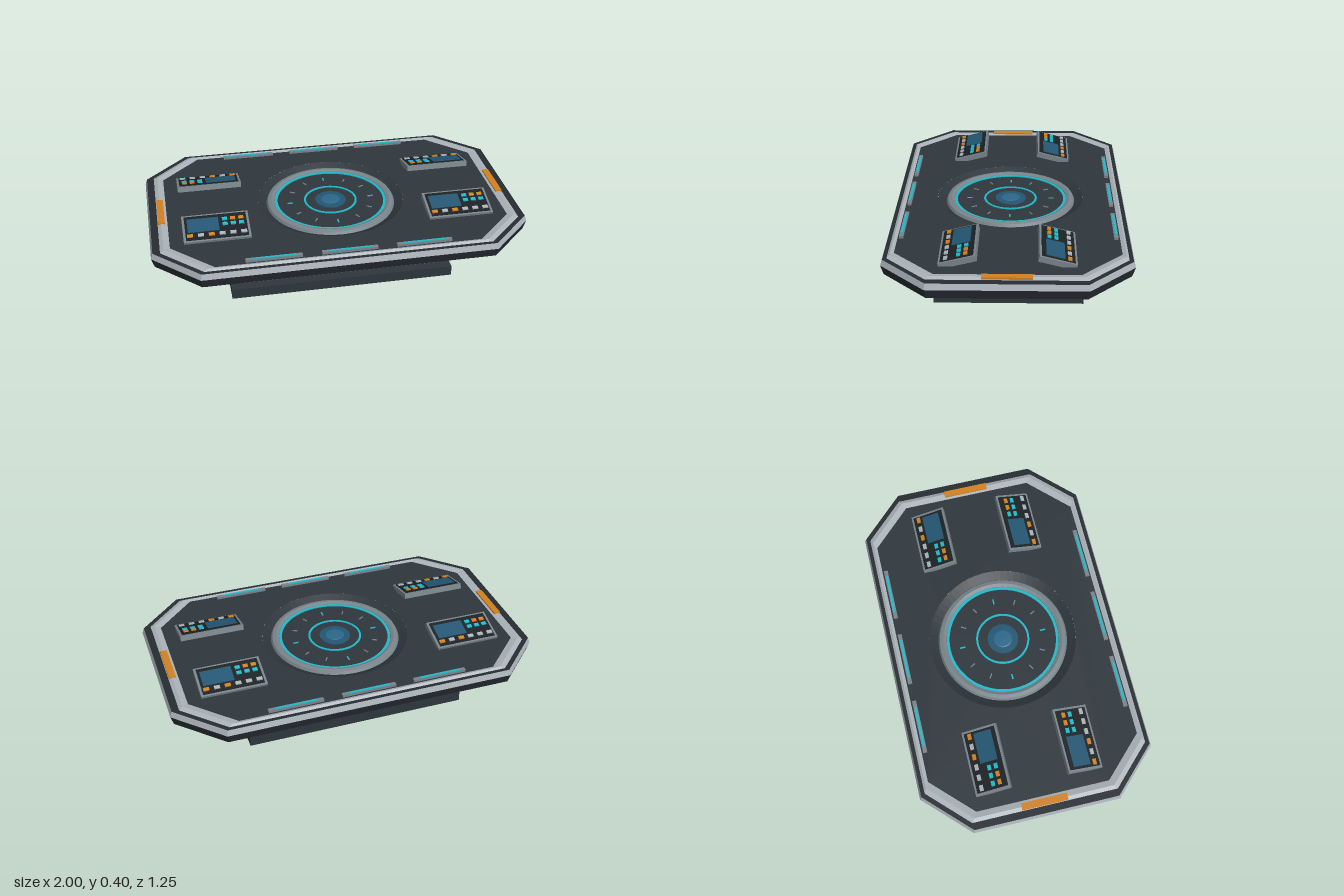
import * as THREE from 'three';

const mat = (name, color, flat = true) => {
  const m = new THREE.MeshStandardMaterial({ color, flatShading: flat });
  m.name = name;
  return m;
};

export function createModel() {
  const root = new THREE.Group();
  root.name = 'commandTable';
  const M = {
    body: mat('bodyDark', 0x262c31),
    deck: mat('deckDark', 0x2e363c),
    silver: mat('silver', 0xaab3b9),
    steel: mat('steel', 0x78848b),
    black: mat('black', 0x1b2024),
    teal: mat('teal', 0x1fb9c9),
    orange: mat('orange', 0xd2811f),
    screen: mat('screenBlue', 0x235672),
    dome: mat('domeBlue', 0x2b678a),
  };

  const add = (parent, name, geo, material, x = 0, y = 0, z = 0) => {
    const m = new THREE.Mesh(geo, material);
    m.name = name;
    m.position.set(x, y, z);
    parent.add(m);
    return m;
  };
  const box = (parent, name, w, h, d, material, x, y, z) =>
    add(parent, name, new THREE.BoxGeometry(w, h, d), material, x, y, z);
  const lathe = (name, pts, material) =>
    add(root, name, new THREE.LatheGeometry(pts.map(p => new THREE.Vector2(...p)), 64), material);

  // Octagon outline: half width, half depth, and x + z along the cut corners
  const octagon = ([hx, hz, s]) => {
    const q = [[hx, s - hx], [s - hz, hz]];
    return [
      ...q, [hz - s, hz], [-hx, s - hx],
      [-hx, hx - s], [hz - s, -hz], [s - hz, -hz], [hx, hx - s],
    ];
  };
  // Band of eight quads joining two octagons, given as [hx, hz, sum, y]
  const band = (name, a, b, material) => {
    const A = octagon(a), B = octagon(b), v = [];
    for (let i = 0; i < 8; i++) {
      const j = (i + 1) % 8;
      const a0 = [A[i][0], a[3], A[i][1]], a1 = [A[j][0], a[3], A[j][1]];
      const b0 = [B[i][0], b[3], B[i][1]], b1 = [B[j][0], b[3], B[j][1]];
      v.push(...a0, ...b0, ...b1, ...a0, ...b1, ...a1);
    }
    const g = new THREE.BufferGeometry();
    g.setAttribute('position', new THREE.Float32BufferAttribute(v, 3));
    g.computeVertexNormals();
    add(root, name, g, material);
  };
  const octShape = s => new THREE.Shape(octagon(s).map(p => new THREE.Vector2(...p)));

  // Table top shell, from the underside up and inward
  const under = [0.865, 0.487, 1.2, 0.225];
  const lower = [0.985, 0.61, 1.37, 0.255];
  const widest = [1, 0.625, 1.39, 0.305];
  const lip = [0.99, 0.615, 1.375, 0.335];
  const inlayOut = [0.952, 0.595, 1.34, 0.335];
  const inlayMid = [0.932, 0.583, 1.305, 0.344];
  const inlayIn = [0.9, 0.565, 1.255, 0.337];
  band('lowerChamfer', under, lower, M.body);
  band('sideWall', lower, widest, M.body);
  band('edgeTrim', widest, lip, M.silver);
  band('outerBorder', lip, inlayOut, M.body);
  band('inlayOuter', inlayOut, inlayMid, M.silver);
  band('inlayInner', inlayMid, inlayIn, M.silver);
  add(root, 'underside', new THREE.ShapeGeometry(octShape(under)).rotateX(Math.PI / 2), M.body, 0, 0.225, 0);
  const deck = octShape(inlayIn);
  deck.holes.push(new THREE.Path().absarc(0, 0, 0.4, 0, Math.PI * 2, true));
  add(root, 'deck', new THREE.ShapeGeometry(deck, 64).rotateX(-Math.PI / 2), M.deck, 0, 0.337, 0);

  // Recessed round display
  lathe('recess', [[0.4, 0.337], [0.35, 0.312]], M.deck);
  lathe('displayRim', [[0.355, 0.31], [0.345, 0.328], [0.325, 0.333], [0.308, 0.326], [0.305, 0.315]], M.steel);
  lathe('displayFace', [[0.31, 0.318], [0, 0.318]], M.deck);
  lathe('outerGlowRing', [[0.307, 0.317], [0.307, 0.323], [0.292, 0.323], [0.292, 0.317]], M.teal);
  lathe('innerGlowRing', [[0.146, 0.317], [0.146, 0.323], [0.135, 0.323], [0.135, 0.317]], M.teal);
  lathe('lens', [[0.086, 0.317], [0.084, 0.324], [0.052, 0.325]], M.screen);
  lathe('lensCore', [[0.052, 0.325], [0.045, 0.328], [0, 0.33]], M.dome);
  for (let i = 0; i < 12; i++) {
    const a = i * Math.PI / 6, axis = i % 3 === 0;
    const tick = box(root, 'dialTick', 0.03, 0.004, axis ? 0.008 : 0.006, axis ? M.teal : M.steel,
      Math.cos(a) * 0.225, 0.32, Math.sin(a) * 0.225);
    tick.rotation.y = -a;
  }

  // Light strips along the long edges, orange bars on the short ones
  for (const s of [1, -1]) {
    for (const x of [-0.39, 0, 0.39]) {
      box(root, 'stripHousing', 0.29, 0.014, 0.022, M.steel, x, 0.343, s * 0.546);
      box(root, 'lightStrip', 0.22, 0.004, 0.012, M.teal, x, 0.351, s * 0.546);
    }
    box(root, 'endBar', 0.036, 0.015, 0.245, M.orange, s * 0.931, 0.34, 0);
  }

  // Tilted control consoles, facing the two long sides
  const makeConsole = () => {
    const g = new THREE.Group();
    g.name = 'console';
    box(g, 'consoleCase', 0.35, 0.03, 0.19, M.steel, 0, 0, 0);
    box(g, 'consolePanel', 0.325, 0.006, 0.168, M.black, 0, 0.015, 0);
    box(g, 'consoleScreen', 0.165, 0.005, 0.095, M.screen, -0.067, 0.019, -0.015);
    const keys = [[M.teal, M.orange, M.orange], [M.teal, M.teal, M.teal]];
    keys.forEach((row, r) => row.forEach((m, c) =>
      box(g, 'key', 0.027, 0.008, 0.02, m, 0.048 + c * 0.043, 0.02, -0.045 + r * 0.036)));
    [M.orange, M.silver, M.orange, M.silver, M.silver, M.silver].forEach((m, i) =>
      box(g, 'rowKey', 0.031, 0.008, 0.02, m, -0.14 + i * 0.056, 0.02, 0.056));
    g.rotation.x = 0.25;
    return g;
  };
  for (const sx of [1, -1]) for (const sz of [1, -1]) {
    const stand = new THREE.Group();
    stand.name = 'consoleMount';
    stand.position.set(sx * 0.652, 0.359, sz * 0.243);
    stand.rotation.y = sz > 0 ? 0 : Math.PI;
    stand.add(makeConsole());
    root.add(stand);
  }

  // Pedestal
  box(root, 'plinth', 1.2, 0.056, 0.772, M.deck, 0, 0.028, 0);
  box(root, 'plinthStep', 1.06, 0.045, 0.664, M.steel, 0, 0.0785, 0);
  box(root, 'corePlate', 0.84, 0.012, 0.4, M.steel, 0, 0.106, 0);
  box(root, 'coreHousing', 0.82, 0.09, 0.44, M.deck, 0, 0.155, 0);
  add(root, 'projectorDrum', new THREE.CylinderGeometry(0.41, 0.4, 0.03, 48), M.body, 0, 0.213, 0);
  box(root, 'crossBar', 0.85, 0.029, 0.29, M.steel, 0, 0.2115, 0);
  for (const s of [1, -1]) {
    [M.teal, M.black, M.teal, M.black].forEach((m, i) =>
      box(root, 'sideIndicator', 0.008, 0.045, 0.027, m, s * 0.412, 0.157, s * (0.097 - i * 0.064)));
  }

  // Slanted legs reaching out to the table corners
  for (const sx of [1, -1]) for (const sz of [1, -1]) {
    const foot = new THREE.Vector3(sx * 0.44, 0.085, sz * 0.195);
    const top = new THREE.Vector3(sx * 0.65, 0.24, sz * 0.3);
    const leg = box(root, 'leg', 0.11, 0.075, foot.distanceTo(top), M.silver, 0, 0, 0);
    leg.position.copy(foot).lerp(top, 0.5);
    leg.lookAt(top);
    const pad = box(root, 'legPad', 0.2, 0.012, 0.15, M.body, sx * 0.64, 0.221, sz * 0.29);
    pad.rotation.y = -sx * sz * 0.46;
  }
  return root;
}
